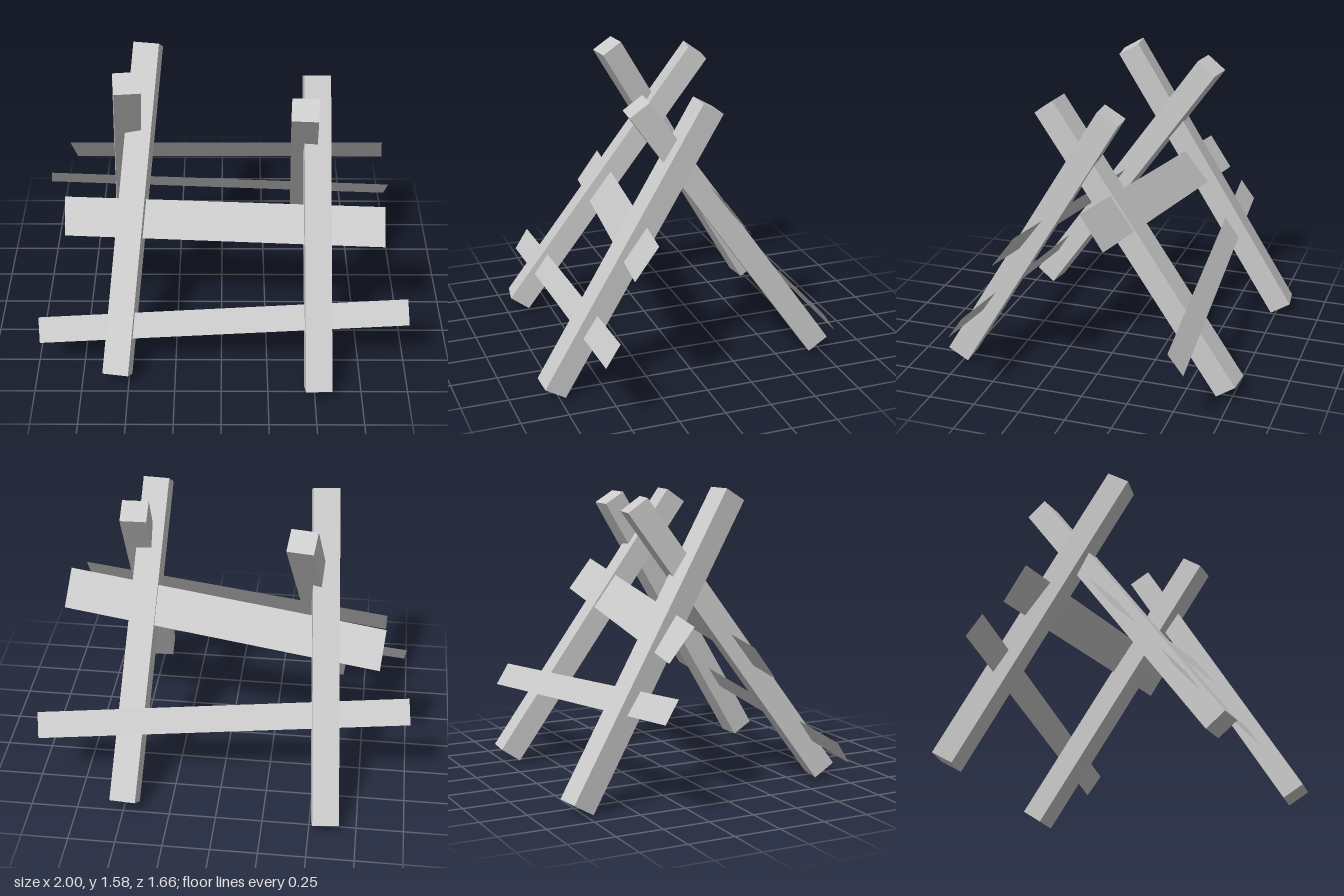
import * as THREE from 'three';

const V = (a) => new THREE.Vector3(...a);
const wood = new THREE.MeshStandardMaterial({ color: 0xcccccc, flatShading: true, side: THREE.DoubleSide });
wood.name = 'paleGrey';

// Square beam from foot centre to top centre, with its width kept level
function beam(name, foot, top) {
  const a = V(foot), b = V(top);
  const up = b.clone().sub(a);
  const length = up.length();
  up.normalize();
  const side = new THREE.Vector3(up.z, 0, -up.x).normalize();
  if (side.x < 0) side.negate();
  const face = side.clone().cross(up);
  const mesh = new THREE.Mesh(new THREE.BoxGeometry(0.14, length, 0.126), wood);
  mesh.quaternion.setFromRotationMatrix(new THREE.Matrix4().makeBasis(side, up, face));
  mesh.position.copy(a).add(b).multiplyScalar(0.5);
  mesh.name = name;
  return mesh;
}

// Thin board spanning two end points, with a vector across its width
function board(name, left, right, across) {
  const a = V(left), b = V(right), v = V(across);
  const u = b.clone().sub(a);
  const n = u.clone().cross(v).normalize();
  const matrix = new THREE.Matrix4().makeBasis(u, v, n);
  matrix.setPosition(a.add(b).multiplyScalar(0.5));
  const geometry = new THREE.PlaneGeometry(1, 1).applyMatrix4(matrix);
  geometry.computeVertexNormals();
  const mesh = new THREE.Mesh(geometry, wood);
  mesh.name = name;
  return mesh;
}

export function createModel() {
  const model = new THREE.Group();
  model.name = 'woodenTrestle';
  model.add(
    // Two pairs of crossed legs
    beam('frontLegRight', [-0.56, 0.055, 0.67], [-0.397, 1.505, -0.36]),
    beam('frontLegLeft', [0.518, 0.04, 0.775], [0.498, 1.472, -0.085]),
    beam('backLegRight', [-0.585, 0.035, -0.77], [-0.485, 1.55, 0.13]),
    beam('backLegLeft', [0.493, 0.055, -0.73], [0.424, 1.48, 0.272]),
    // Crooked boards through the legs
    board('frontUpperBoard', [-0.85, 0.725, 0.147], [0.86, 0.82, 0.37], [0, 0.17, -0.125]),
    board('frontLowerBoard', [-0.983, 0.248, 0.538], [0.992, 0.423, 0.59], [-0.008, 0.115, -0.077]),
    board('backUpperBoard', [-0.833, 0.853, -0.315], [0.873, 0.992, -0.108], [-0.022, 0.175, 0.127]),
    board('backLowerBoard', [-0.993, 0.568, -0.45], [0.978, 0.403, -0.572], [0.014, 0.115, 0.078]),
  );
  model.position.y = -0.005;
  return model;
}
